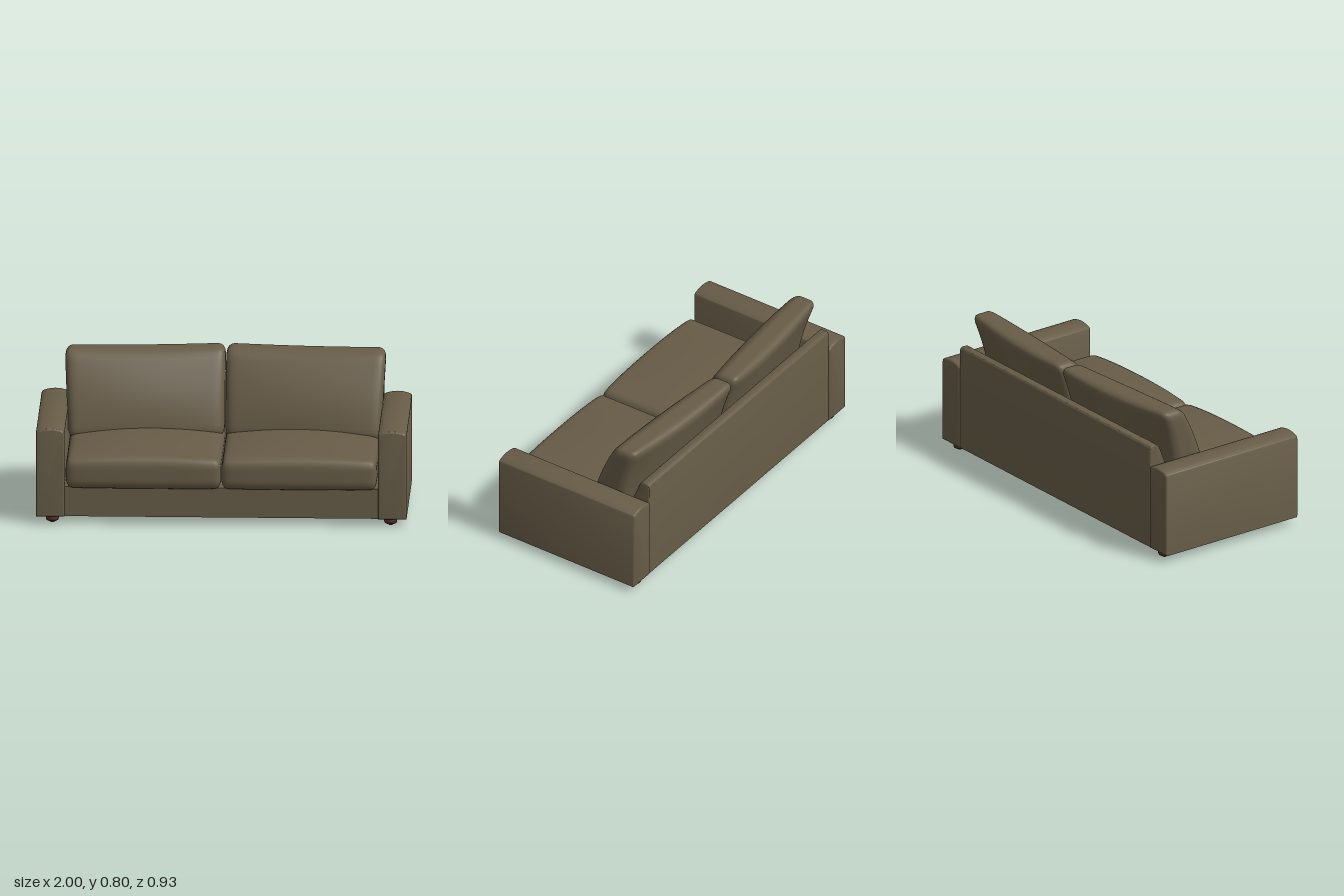
import * as THREE from 'three';
import { mergeVertices, toCreasedNormals } from 'three/addons/utils/BufferGeometryUtils.js';

const fabric = new THREE.MeshStandardMaterial({ color: 0x675c47 });
fabric.name = 'brown fabric';
const wood = new THREE.MeshStandardMaterial({ color: 0x4a2a20 });
wood.name = 'dark wood';
const metal = new THREE.MeshStandardMaterial({ color: 0x55504a });
metal.name = 'grey glide';

function addMesh(parent, name, geometry, material, x = 0, y = 0, z = 0) {
  const mesh = new THREE.Mesh(geometry, material);
  mesh.name = name;
  mesh.position.set(x, y, z);
  parent.add(mesh);
  return mesh;
}

// Rounded block with half sizes h and corner radii r; rule(p, u, v, w) then bends each point.
function cushion(h, r, rule) {
  let g = new THREE.BoxGeometry(2, 2, 2, 28, 20, 28);
  g.deleteAttribute('uv');
  g.deleteAttribute('normal');
  g = mergeVertices(g);
  const pos = g.attributes.position;
  const p = new THREE.Vector3(), inner = new THREE.Vector3(), d = new THREE.Vector3();
  const limit = h.clone().sub(r), low = limit.clone().negate();
  for (let i = 0; i < pos.count; i++) {
    p.fromBufferAttribute(pos, i);
    p.set(...p.toArray().map((t) => Math.sin(t * Math.PI / 2))).multiply(h);
    inner.copy(p).clamp(low, limit);
    d.copy(p).sub(inner).divide(r).normalize().multiply(r);
    p.copy(inner).add(d);
    rule(p, p.x / h.x, p.y / h.y, p.z / h.z);
    pos.setXYZ(i, p.x, p.y, p.z);
  }
  g.computeVertexNormals();
  return g;
}

// Profile extruded with a small softened edge, centred on its depth.
function extrudeSoft(shape, depth, bevel) {
  const g = new THREE.ExtrudeGeometry(shape, {
    depth: depth - 2 * bevel, bevelThickness: bevel, bevelSize: bevel,
    bevelOffset: -bevel, bevelSegments: 3, curveSegments: 10,
  });
  g.translate(0, 0, bevel - depth / 2);
  return toCreasedNormals(g, 0.6);
}

export function createModel() {
  const sofa = new THREE.Group();
  sofa.name = 'sofa';

  // Base under the seats
  addMesh(sofa, 'base', new THREE.BoxGeometry(1.72, 0.165, 0.85), fabric, 0, 0.1245, -0.013);

  // Backrest frame with a sloping inner face
  const back = new THREE.Shape();
  back.moveTo(0.457, 0.042);
  back.lineTo(0.457, 0.61);
  back.quadraticCurveTo(0.457, 0.632, 0.44, 0.632);
  back.lineTo(0.415, 0.632);
  back.quadraticCurveTo(0.4, 0.63, 0.39, 0.605);
  back.lineTo(0.36, 0.53);
  back.lineTo(0.3, 0.36);
  back.lineTo(0.3, 0.042);
  const backGeo = extrudeSoft(back, 1.70, 0.006);
  backGeo.rotateY(Math.PI / 2);
  addMesh(sofa, 'backFrame', backGeo, fabric);

  // Arm profile with a gently domed top
  const arm = new THREE.Shape();
  arm.moveTo(-0.077, 0.041);
  arm.lineTo(0.077, 0.041);
  arm.lineTo(0.077, 0.5);
  arm.quadraticCurveTo(0.077, 0.514, 0.062, 0.52);
  arm.quadraticCurveTo(0, 0.542, -0.062, 0.52);
  arm.quadraticCurveTo(-0.077, 0.514, -0.077, 0.5);
  const armGeo = extrudeSoft(arm, 0.892, 0.01);

  // Seat cushion: crowned top, bowed front
  const seatGeo = cushion(new THREE.Vector3(0.419, 0.083, 0.4), new THREE.Vector3(0.035, 0.055, 0.04), (p, u, v, w) => {
    const crown = (1 - u * u) * (1 - 0.7 * w * w);
    if (v > 0) p.y += v * 0.042 * crown;
    if (w > 0) p.z += w * 0.014 * (1 - u ** 4);
  });

  // Leg and glide
  const legGeo = new THREE.LatheGeometry([
    [0, 0.008], [0.025, 0.008], [0.032, 0.012], [0.035, 0.02], [0.035, 0.045], [0, 0.045],
  ].map(([x, y]) => new THREE.Vector2(x, y)), 24);
  const glideGeo = new THREE.CylinderGeometry(0.012, 0.012, 0.01, 16);

  for (const side of [1, -1]) {
    const label = side > 0 ? 'left' : 'right';
    addMesh(sofa, label + 'Arm', armGeo, fabric, side * 0.923, 0, -0.017);
    addMesh(sofa, label + 'SeatCushion', seatGeo, fabric, side * 0.42, 0.285, 0.05);

    // Back cushion leans back, thins upward and turns away at the middle of the sofa
    const backCushion = cushion(new THREE.Vector3(0.423, 0.23, 0.5), new THREE.Vector3(0.042, 0.05, 0.3), (p, u, v, w) => {
      const out = (side * u + 1) / 2;
      const halfDepth = 0.087 - 0.017 * v;
      const bulge = 0.022 * (1 - u * u) * (1 - v * v);
      p.z = w * (halfDepth + bulge) - 0.215 - 0.075 * v - 0.02 * v * v - 0.062 * (1 - out) ** 1.5;
      if (w < 0) p.z += w * 0.022 * (1 - u * u);
      p.x += side * out * 0.012 * (v + 0.6);
      if (v > 0) p.y -= 0.006 * v * (1 - u * u);
    });
    addMesh(sofa, label + 'BackCushion', backCushion, fabric, side * 0.425, 0.573, 0);

    for (const [end, z] of [['Front', 0.37], ['Rear', -0.408]]) {
      addMesh(sofa, label + end + 'Leg', legGeo, wood, side * 0.913, 0, z);
      addMesh(sofa, label + end + 'Glide', glideGeo, metal, side * 0.913, 0.005, z);
    }
  }
  return sofa;
}
